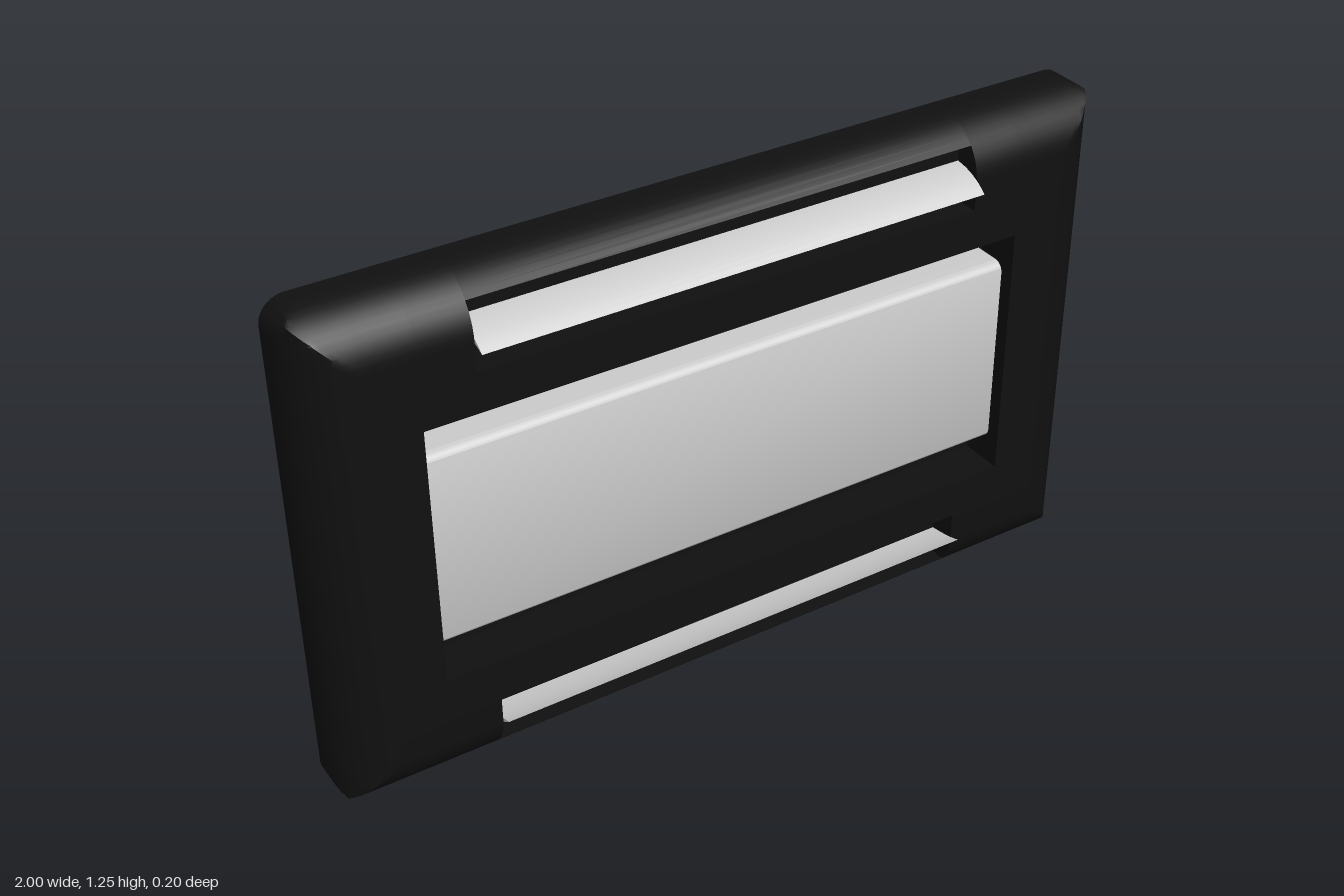
import * as THREE from 'three';
import { toCreasedNormals } from 'three/addons/utils/BufferGeometryUtils.js';

const H = 1.25, MID = H / 2, BACK = -0.1, RIM = -0.065, FRONT = 0.07;
const FILLET = 0.13, CORNER = 0.06;

// Pockets sunk into the front: half width, bottom, top, floor z
const pockets = [
  [0.75, 0.3, 0.95, -0.04],
  [0.625, 1.05, 1.2, 0],
  [0.625, 0.05, 0.2, 0],
];

// Grid lines along one axis: dense over the rounded rim, doubled at pocket edges
function gridLines(half, edges) {
  const lines = [];
  for (let i = 0; i <= 12; i++) {
    const a = half - FILLET + FILLET * Math.sin((i / 12) * Math.PI / 2);
    lines.push(a, -a);
  }
  for (const e of edges) lines.push(e - 0.0004, e + 0.0004);
  return [...new Set(lines)].sort((a, b) => a - b);
}

// Rim profile: quarter ellipse from the front face back to the side wall
function rimHeight(v, half) {
  const t = Math.min(1, Math.max(0, (Math.abs(v) - half + FILLET) / FILLET));
  return RIM + (FRONT - RIM) * Math.sqrt(1 - t * t);
}

// Front skin as a height field with sunken pockets
function frontSkin() {
  const xs = gridLines(1, pockets.flatMap(p => [-p[0], p[0]]));
  const ys = gridLines(MID, pockets.flatMap(p => [p[1] - MID, p[2] - MID]));
  const pos = [], index = [];
  ys.forEach((y, j) => xs.forEach((x, i) => {
    let z = Math.min(rimHeight(x, 1), rimHeight(y, MID));
    for (const [w, lo, hi, floor] of pockets) {
      if (Math.abs(x) < w && y + MID > lo && y + MID < hi) z = Math.min(z, floor);
    }
    // Pull the outline corners in to an arc
    const cx = Math.abs(x) - 1 + CORNER, cy = Math.abs(y) - MID + CORNER;
    const k = cx > 0 && cy > 0 ? Math.min(1, CORNER / Math.hypot(cx, cy)) : 1;
    const px = k < 1 ? Math.sign(x) * (1 - CORNER + cx * k) : x;
    const py = k < 1 ? Math.sign(y) * (MID - CORNER + cy * k) : y;
    pos.push(px, py + MID, z);
    if (i && j) {
      const n = xs.length, d = j * n + i, c = d - 1, b = d - n, a = b - 1;
      // Diagonals follow the corner mitres
      if (x * y > 0) index.push(a, b, d, a, d, c);
      else index.push(a, b, c, b, d, c);
    }
  }));
  const g = new THREE.BufferGeometry();
  g.setAttribute('position', new THREE.Float32BufferAttribute(pos, 3));
  g.setIndex(index);
  return toCreasedNormals(g, 0.6);
}

// Flat rounded slab closing the back
function backSlab() {
  const s = new THREE.Shape(), r = CORNER;
  s.absarc(1 - r, r, r, -Math.PI / 2, 0);
  s.absarc(1 - r, H - r, r, 0, Math.PI / 2);
  s.absarc(-1 + r, H - r, r, Math.PI / 2, Math.PI);
  s.absarc(-1 + r, r, r, Math.PI, Math.PI * 1.5);
  const g = new THREE.ExtrudeGeometry(s, { depth: RIM - BACK, bevelEnabled: false, curveSegments: 10 });
  return toCreasedNormals(g.translate(0, 0, BACK), 0.6);
}

// Extrude a side profile (drawn with -z to the right) along x
function extrudeX(shape, x0, x1) {
  const g = new THREE.ExtrudeGeometry(shape, { depth: x1 - x0, bevelEnabled: false, curveSegments: 8 });
  return toCreasedNormals(g.rotateY(Math.PI / 2).translate(x0, 0, 0), 0.6);
}

export function createModel() {
  const group = new THREE.Group();
  const dark = new THREE.MeshStandardMaterial({ color: 0x101010 });
  const grey = new THREE.MeshStandardMaterial({ color: 0xcccccc });
  const add = (name, geometry, material) => {
    const mesh = new THREE.Mesh(geometry, material);
    mesh.name = name;
    group.add(mesh);
  };

  add('housingFront', frontSkin(), dark);
  add('housingBack', backSlab(), dark);

  // Centre panel: long front edges rounded, ends square
  const r = 0.025, lo = 0.385, hi = 0.875, zf = 0.055;
  const panel = new THREE.Shape();
  panel.moveTo(0.045, lo);
  panel.lineTo(0.045, hi);
  panel.lineTo(-zf + r, hi);
  panel.absarc(-zf + r, hi - r, r, Math.PI / 2, Math.PI);
  panel.absarc(-zf + r, lo + r, r, Math.PI, Math.PI * 1.5);
  add('centrePanel', extrudeX(panel, -0.749, 0.732), grey);

  // Curved vent blades, mirrored top and bottom
  for (const [name, side] of [['topVentBlade', 1], ['bottomVentBlade', -1]]) {
    const y = v => MID + side * (v - MID);
    const blade = new THREE.Shape();
    blade.moveTo(-0.1, y(1.105));
    blade.quadraticCurveTo(-0.06, y(1.142), 0.005, y(1.147));
    blade.lineTo(0.005, y(1.13));
    blade.quadraticCurveTo(-0.06, y(1.122), -0.1, y(1.105));
    add(name, extrudeX(blade, -0.625, 0.625), grey);
  }
  return group;
}
